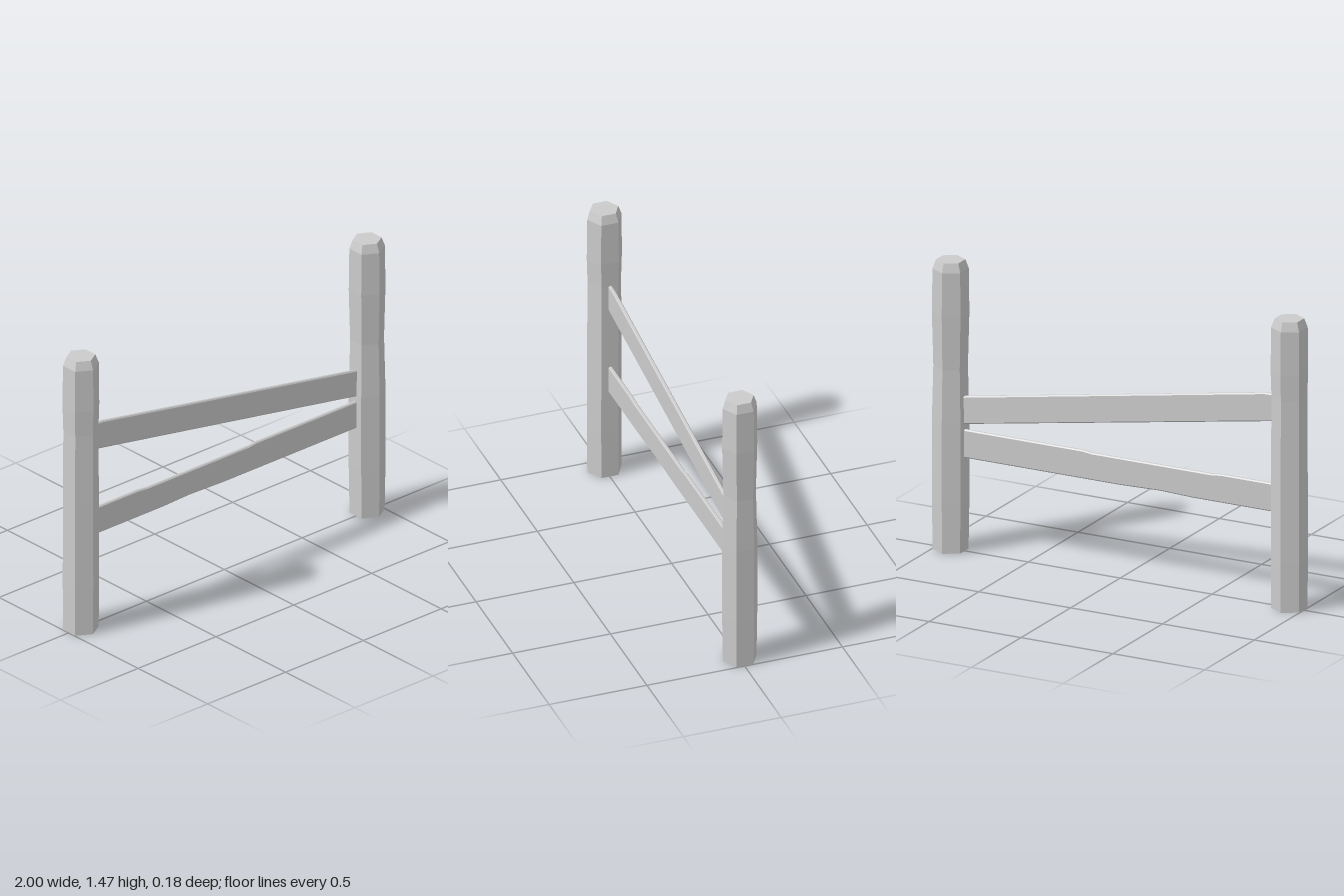
import * as THREE from 'three';

const material = new THREE.MeshStandardMaterial({ color: 0xcccccc, flatShading: true });

// Six-sided post; profile lists [radius, height] from the ground up
function makePost(name, x, z, profile) {
  const points = [[0, 0], ...profile, [0, profile.at(-1)[1]]].map(([r, y]) => new THREE.Vector2(r, y));
  const post = new THREE.Mesh(new THREE.LatheGeometry(points, 6), material);
  post.name = name;
  post.position.set(x, 0, z);
  return post;
}

// Thin rail with bevelled edges, cut from its front outline
function makeRail(name, outline) {
  const shape = new THREE.Shape(outline.map(([x, y]) => new THREE.Vector2(x, y)));
  const bevel = 0.006;
  const geometry = new THREE.ExtrudeGeometry(shape, {
    depth: 0.01, bevelEnabled: true, bevelSegments: 1,
    bevelThickness: 0.005, bevelSize: bevel, bevelOffset: -bevel,
  });
  geometry.translate(0, 0, -0.013 + 0.005);
  const rail = new THREE.Mesh(geometry, material);
  rail.name = name;
  return rail;
}

export function createModel() {
  const group = new THREE.Group();
  group.name = 'fenceSection';

  // Hand-hewn posts, slightly waisted, with a chamfered top
  group.add(makePost('rightPost', -0.921, 0, [
    [0.087, 0], [0.089, 0.25], [0.088, 0.7], [0.086, 1.07], [0.09, 1.2], [0.088, 1.42], [0.071, 1.465],
  ]));
  group.add(makePost('leftPost', 0.921, -0.004, [
    [0.086, 0], [0.09, 0.25], [0.09, 0.65], [0.083, 0.93], [0.09, 1.2], [0.087, 1.42], [0.071, 1.465],
  ]));

  // Level lower rail and slipped upper rail
  group.add(makeRail('lowerRail', [
    [-0.87, 0.475], [-0.4, 0.475], [-0.22, 0.481], [0, 0.475], [0.87, 0.475],
    [0.87, 0.618], [0.2, 0.618], [0.15, 0.612], [-0.5, 0.612], [-0.56, 0.618], [-0.87, 0.618],
  ]));
  group.add(makeRail('upperRail', [
    [-0.87, 0.939], [0.87, 0.641], [0.87, 0.781], [-0.79, 1.07], [-0.87, 1.073],
  ]));

  return group;
}
